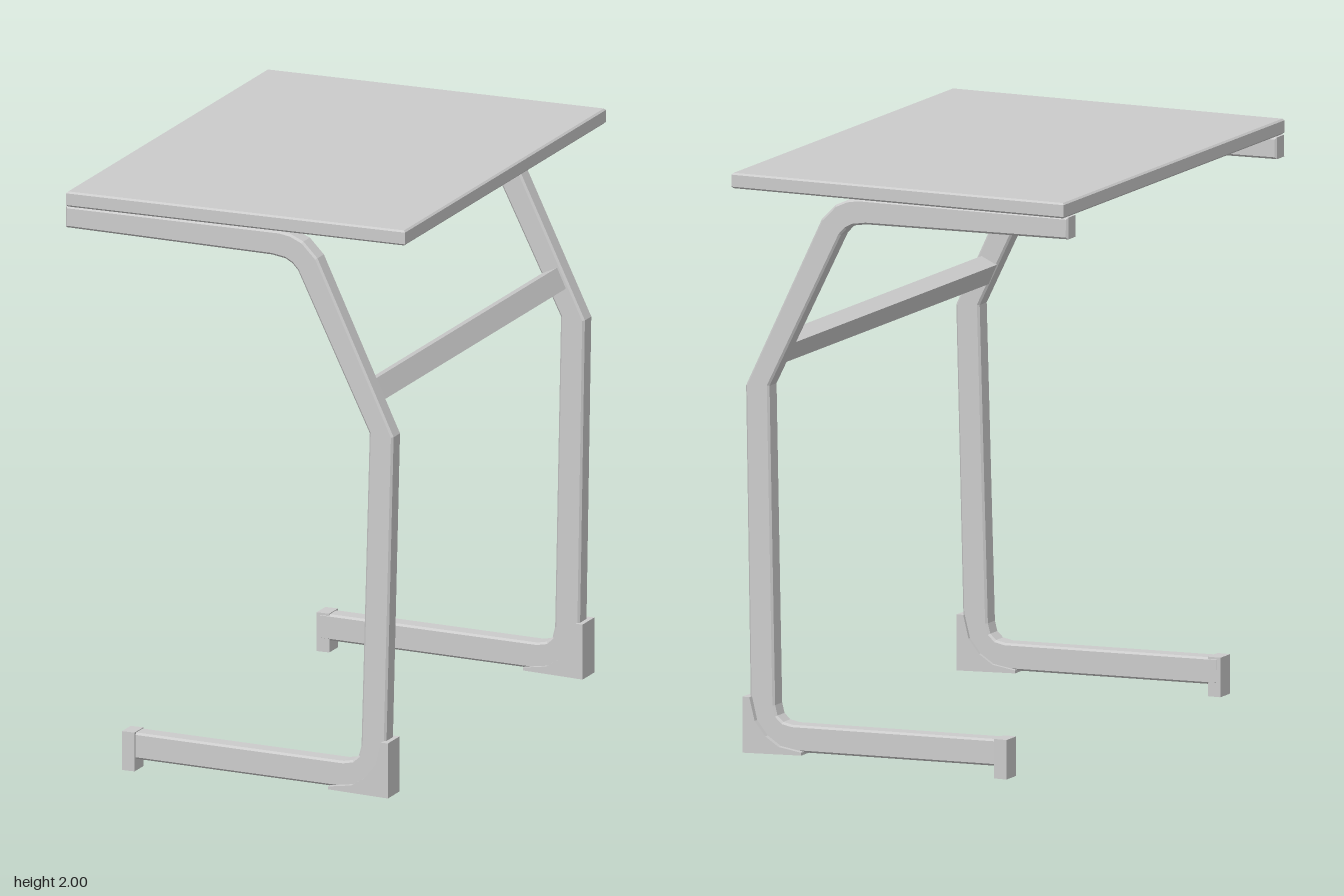
import * as THREE from 'three';

const material = new THREE.MeshStandardMaterial({ color: 0xcccccc, flatShading: true });

// Side profile of one bent tube: outer edge down to the toe, then back along the inner edge
const TUBE = [
  [-0.63, 1.947], [0.16, 1.945], [0.20, 1.938], [0.245, 1.918], [0.297, 1.865], [0.58, 1.27],
  [0.557, 0.15], [0.545, 0.09], [0.51, 0.045], [0.45, 0.025], [-0.405, 0.042],
  [-0.405, 0.134], [0.40, 0.118], [0.435, 0.125], [0.457, 0.145], [0.466, 0.18],
  [0.492, 1.275], [0.226, 1.815], [0.205, 1.838], [0.18, 1.852], [0.13, 1.86], [-0.63, 1.872],
];

// Protective corner piece, hollowed along the bend of the tube
const BOOT = [
  [0.575, 0.205], [0.575, 0.012], [0.355, 0.02], [0.355, 0.03],
  [0.44, 0.043], [0.49, 0.075], [0.53, 0.125], [0.55, 0.205],
];

// Extrudes a side profile across z, centred on z = 0
function plate(name, points, depth, bevel) {
  const shape = new THREE.Shape(points.map(([x, y]) => new THREE.Vector2(x, y)));
  const geometry = new THREE.ExtrudeGeometry(shape, {
    depth: depth - 2 * bevel,
    bevelEnabled: bevel > 0,
    bevelThickness: bevel,
    bevelSize: bevel,
    bevelOffset: -bevel,
    bevelSegments: 1,
  });
  geometry.translate(0, 0, bevel - depth / 2);
  const mesh = new THREE.Mesh(geometry, material);
  mesh.name = name;
  return mesh;
}

function box(name, w, h, d, x, y, z) {
  const mesh = new THREE.Mesh(new THREE.BoxGeometry(w, h, d), material);
  mesh.name = name;
  mesh.position.set(x, y, z);
  return mesh;
}

// One side frame; the legs splay slightly outwards towards the floor
function sideFrame(side) {
  const frame = new THREE.Group();
  frame.name = side > 0 ? 'frontSideFrame' : 'backSideFrame';

  const tube = plate('bentLeg', TUBE, 0.068, 0.007);
  const p = tube.geometry.attributes.position;
  for (let i = 0; i < p.count; i++) {
    p.setZ(i, p.getZ(i) + side * (0.82 - 0.009 * p.getY(i)));
  }
  tube.geometry.computeVertexNormals();

  const boot = plate('cornerBoot', BOOT, 0.1, 0);
  boot.position.z = side * 0.823;

  const toe = box('toePad', 0.047, 0.136, 0.074, -0.388, 0.068, side * 0.823);
  frame.add(tube, boot, toe);
  return frame;
}

export function createModel() {
  const model = new THREE.Group();
  model.name = 'sideTable';

  // Flat top with lightly chamfered edges
  const top = plate('tableTop', [[-0.625, -0.85], [0.625, -0.85], [0.625, 0.85], [-0.625, 0.85]], 0.053, 0.006);
  top.rotation.x = -Math.PI / 2;
  top.position.y = 1.9735;
  model.add(top);

  const base = new THREE.Group();
  base.name = 'base';
  base.position.z = 0.007;
  for (const side of [1, -1]) base.add(sideFrame(side));

  // Cross bar lying along the slanted part of the legs
  const bar = box('crossBar', 0.062, 0.077, 1.6, 0.469, 1.398, 0);
  bar.rotation.z = Math.atan2(0.42, 0.91);
  base.add(bar);
  model.add(base);

  // The whole table is turned very slightly
  model.rotation.y = 0.0215;
  const root = new THREE.Group();
  root.name = 'table';
  root.add(model);
  return root;
}
